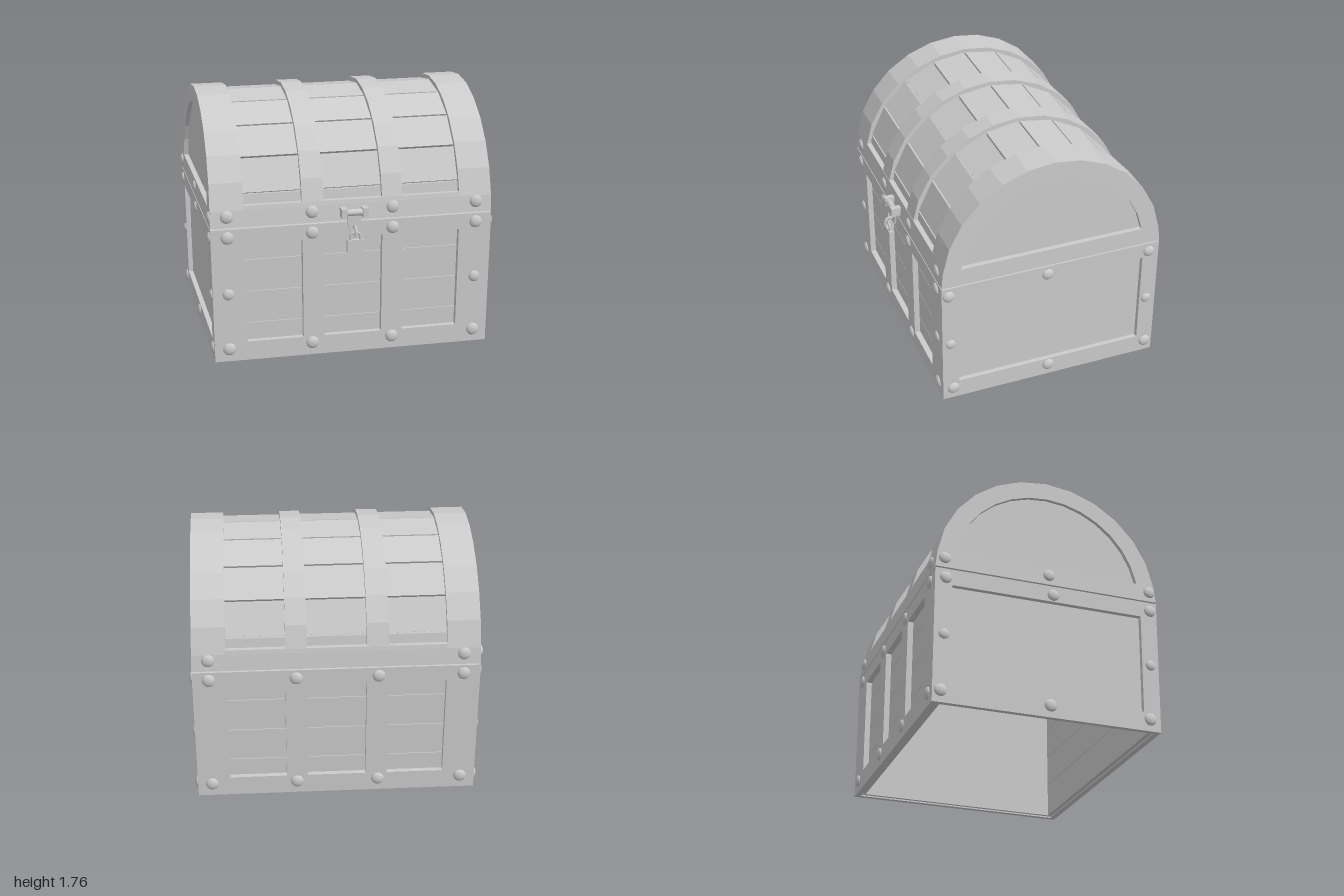
import * as THREE from 'three';

const HX = 0.985, HZ = 0.8, CZ = -0.035;       // half width, half depth, depth centre
const CY = 0.97, R = 0.795;                    // centre and radius of the lid arch
const RIM = 0.965;                             // bottom of the lid
const flat = new THREE.MeshStandardMaterial({ color: 0xcccccc, flatShading: true, side: THREE.DoubleSide });
const smooth = new THREE.MeshStandardMaterial({ color: 0xcccccc });

// the ends lean out gently up to the rim and back in over the lid
const swell = (y) => (0.97 + 0.015 * Math.max(0, 1 - Math.abs(y - 0.97) / 0.9)) / HX;

function bulge(geo) {
  const p = geo.attributes.position;
  for (let i = 0; i < p.count; i++) p.setX(i, p.getX(i) * swell(p.getY(i)));
  geo.computeVertexNormals();
  return geo;
}

function add(parent, name, geo, mat = flat) {
  const m = new THREE.Mesh(geo, mat);
  m.name = name;
  parent.add(m);
  return m;
}

const pts = (list) => list.map(([x, y]) => new THREE.Vector2(x, y));
const rect = (x0, x1, y0, y1) => pts([[x0, y0], [x1, y0], [x1, y1], [x0, y1]]);

function box(x0, x1, y0, y1, z0, z1) {
  return new THREE.BoxGeometry(x1 - x0, y1 - y0, z1 - z0)
    .translate((x0 + x1) / 2, (y0 + y1) / 2, (z0 + z1) / 2);
}

function extrude(outline, holes, depth) {
  const s = new THREE.Shape(outline);
  holes.forEach((h) => s.holes.push(new THREE.Path(h)));
  return new THREE.ExtrudeGeometry(s, { depth, bevelEnabled: false });
}

// extrude a depth/height profile along x, from x0 to x1
const alongX = (outline, holes, x0, x1) =>
  extrude(outline, holes, x1 - x0).rotateY(Math.PI / 2).translate(x0, 0, CZ);

// points over the arch, from one side to the other
function arc(r, a0 = 8, n = 12) {
  return Array.from({ length: n + 1 }, (_, i) => {
    const a = THREE.MathUtils.degToRad(a0 + (180 - 2 * a0) * i / n);
    return [r * Math.cos(a), CY + r * Math.sin(a)];
  });
}
const archOutline = (r, half) => [[half, RIM], ...arc(r), [-half, RIM]];
const archBand = (r, half, t) =>
  pts([...archOutline(r, half), ...archOutline(r - t, half - t).reverse()]);

function stud(parent, x, y, z, dir, r = 0.045) {
  const geo = new THREE.SphereGeometry(r, 14, 5, 0, Math.PI * 2, 0, Math.PI / 2).scale(1, 0.5, 1);
  const m = add(parent, 'stud', geo, smooth);
  m.position.set(x, y, z);
  m.quaternion.setFromUnitVectors(new THREE.Vector3(0, 1, 0), dir);
}

function buildBase() {
  const g = new THREE.Group();
  g.name = 'base';
  const bays = [[-0.755, -0.355], [-0.205, 0.205], [0.355, 0.755]];
  const rows = [0.01, 0.26, 0.49, 0.72, 1.0];
  for (const s of [1, -1]) {
    // front and back frames with three bays
    const frame = extrude(rect(-HX, HX, 0, 0.955), bays.map(([a, b]) => rect(a, b, 0.135, 0.845)), 0.04);
    frame.translate(0, 0, s > 0 ? CZ + HZ - 0.04 : CZ - HZ);
    add(g, s > 0 ? 'frontFrame' : 'backFrame', bulge(frame));
    // recessed planks
    const z = CZ + s * (HZ - 0.055);
    for (let i = 0; i < 4; i++)
      add(g, 'wallPlank', box(-0.94, 0.94, rows[i] + 0.002, rows[i + 1] - 0.002, z - 0.015, z + 0.015));
    // end frames and panels
    const end = alongX(rect(-HZ + 0.04, HZ - 0.04, 0, 0.955), [rect(-0.68, 0.68, 0.135, 0.84)],
      s > 0 ? HX - 0.035 : -HX, s > 0 ? HX : -HX + 0.035);
    add(g, 'endFrame', bulge(end));
    const x = s * 0.925;
    add(g, 'endPanel', box(x - 0.012, x + 0.012, 0.01, 1.0, CZ - 0.75, CZ + 0.75));
  }
  return g;
}

function buildLid() {
  const g = new THREE.Group();
  g.name = 'lid';
  // inner shell seen between the planks
  add(g, 'lidShell', alongX(archBand(0.74, 0.745, 0.02), [], -0.93, 0.93));
  // flat planks around the arch
  const step = THREE.MathUtils.degToRad(18.5), rp = 0.768;
  for (let i = 0; i < 10; i++) {
    const a = (i - 4.5) * step, w = 2 * rp * Math.sin(step / 2) - 0.012;
    const plank = new THREE.BoxGeometry(1.88, 0.03, w)
      .translate(0, rp * Math.cos(step / 2) - 0.015, 0).rotateX(a).translate(0, CY, CZ);
    add(g, 'lidPlank', plank);
  }
  // straps over the top
  for (const [x0, x1] of [[-0.95, -0.755], [-0.355, -0.205], [0.205, 0.35], [0.755, 0.95]])
    add(g, 'lidStrap', bulge(alongX(archBand(R, HZ, 0.05), [], x0, x1)));
  const opening = pts([[0.659, 1.09], ...arc(0.67, 10.5, 14), [-0.659, 1.09]]);
  const disc = pts(archOutline(0.765, 0.77));
  for (const s of [1, -1]) {
    // arched ends with recessed panel
    const x0 = s > 0 ? 0.95 : -HX;
    add(g, 'lidEndFrame', bulge(alongX(pts(archOutline(R, HZ)), [opening], x0, x0 + 0.035)));
    add(g, 'lidEndPanel', alongX(disc, [], s * 0.938 - 0.01, s * 0.938 + 0.01));
    // front and back rim
    const rim = pts([[HZ, RIM], [0.787, 1.08], [0.782, 1.11], [0.74, 1.11], [0.74, RIM]].map(([u, y]) => [-s * u, y]));
    add(g, 'lidRim', alongX(rim, [], -0.76, 0.76));
  }
  return g;
}

function buildStuds() {
  const g = new THREE.Group();
  g.name = 'studs';
  const front = new THREE.Vector3(0, 0, 1), left = new THREE.Vector3(1, 0, 0);
  const back = front.clone().negate(), right = left.clone().negate();
  const zf = CZ + HZ, zb = CZ - HZ;
  for (const x of [-0.87, -0.287, 0.278, 0.873]) {
    for (const y of [0.09, 0.895]) {
      stud(g, x, y, zf, front);
      stud(g, x, y, zb, back);
    }
    stud(g, x, 1.04, zf - 0.008, front);
    if (Math.abs(x) > 0.5) {
      stud(g, x, 0.49, zf, front, 0.04);
      stud(g, x, 1.04, zb + 0.008, back);
    }
  }
  for (const [dir, s] of [[left, 1], [right, -1]]) {
    const put = (y, z, r) => stud(g, s * HX * swell(y), y, z, dir, r);
    [0.69, -0.025, -0.78].forEach((z) => put(0.085, z, 0.044));
    [0.715, 0, -0.76].forEach((z) => put(0.89, z, 0.042));
    [0.705, -0.765].forEach((z) => put(0.48, z, 0.037));
    if (s < 0) [0.715, -0.03, -0.77].forEach((z) => put(1.035, z, 0.042));
  }
  return g;
}

function buildLock() {
  const g = new THREE.Group();
  g.name = 'lock';
  // hinge barrel between two knuckles
  add(g, 'hingeBarrel', new THREE.CylinderGeometry(0.024, 0.024, 0.12, 12).rotateZ(Math.PI / 2).translate(0, 1.03, 0.798), smooth);
  for (const s of [-1, 1])
    add(g, 'hingeKnuckle', box(s * 0.074 - 0.02, s * 0.074 + 0.02, 0.997, 1.06, 0.755, 0.825));
  // hasp narrowing downwards
  const hasp = extrude(pts([[-0.045, 1.03], [-0.045, 0.96], [-0.03, 0.89], [0.03, 0.89], [0.045, 0.96], [0.045, 1.03]]), [], 0.015);
  add(g, 'hasp', hasp.translate(0, 0, 0.776));
  // staple through the hasp
  add(g, 'staple', new THREE.TorusGeometry(0.037, 0.011, 6, 12, Math.PI).rotateY(Math.PI / 2).translate(0, 0.897, 0.812), smooth);
  add(g, 'stapleTip', new THREE.CylinderGeometry(0.011, 0.011, 0.025, 8).translate(0, 0.885, 0.849), smooth);
  // padlock
  add(g, 'padlockBody', box(-0.058, 0.058, 0.757, 0.845, 0.813, 0.839));
  add(g, 'shackle', new THREE.TorusGeometry(0.035, 0.009, 6, 14, Math.PI).translate(0, 0.862, 0.826), smooth);
  for (const s of [-1, 1])
    add(g, 'shackleLeg', new THREE.CylinderGeometry(0.009, 0.009, 0.03, 8).translate(s * 0.035, 0.85, 0.826), smooth);
  return g;
}

export function createModel() {
  const chest = new THREE.Group();
  chest.name = 'chest';
  chest.add(buildBase(), buildLid(), buildStuds(), buildLock());
  return chest;
}
